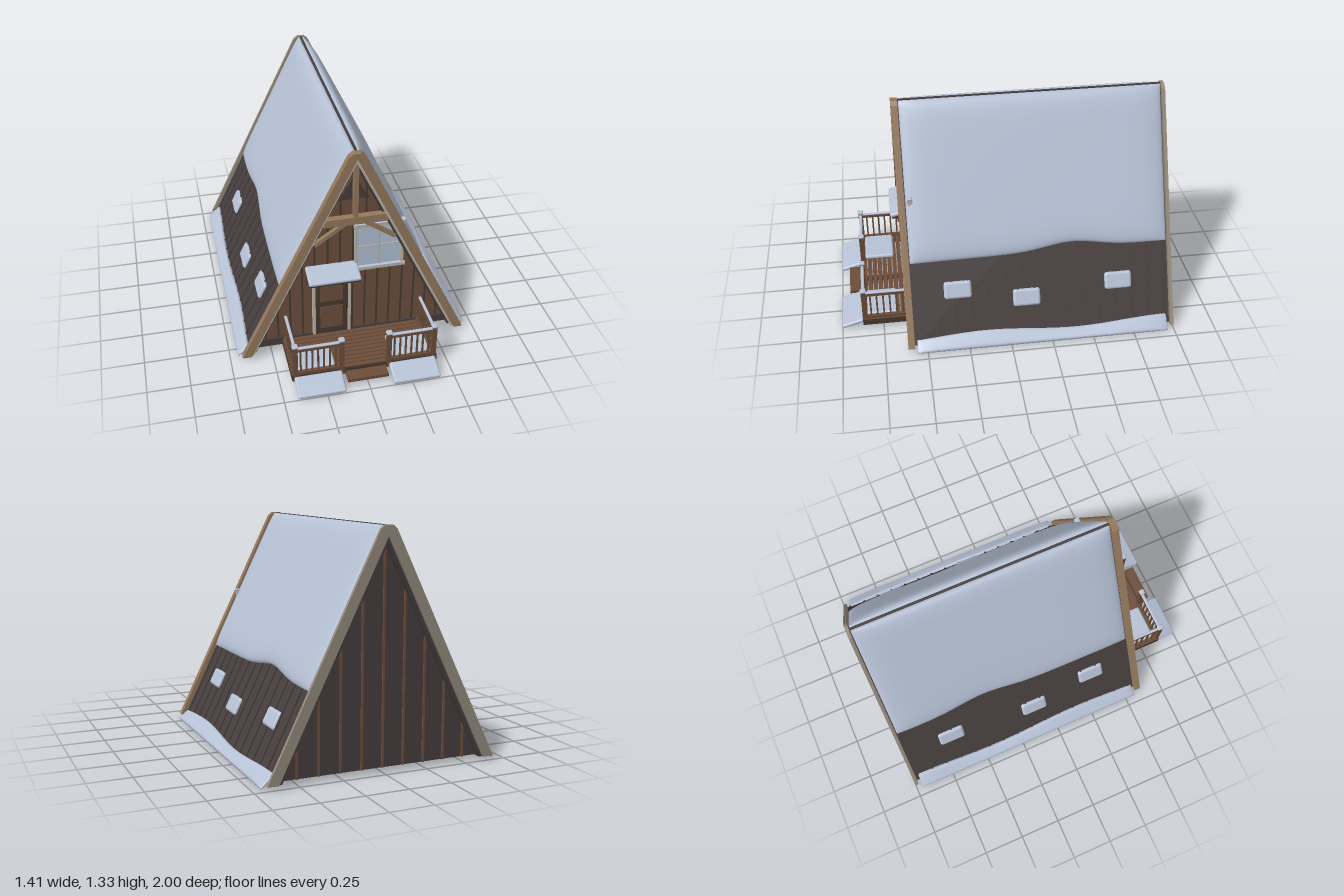
import * as THREE from 'three';
import { mergeVertices } from 'three/addons/utils/BufferGeometryUtils.js';
import { RoundedBoxGeometry } from 'three/addons/geometries/RoundedBoxGeometry.js';

const material = (name, color) => Object.assign(new THREE.MeshStandardMaterial({ color }), { name });
const M = {
  snow: material('snow', 0xb6c1d5),
  roof: material('darkRoof', 0x463e3d),
  wall: material('wallWood', 0x6a4f3d),
  dark: material('darkWood', 0x463830),
  trim: material('paleTrim', 0xb9b3a6),
  beam: material('beamWood', 0x94785c),
  deck: material('deckWood', 0x6c4d39),
  glass: material('glass', 0xb2c0d6),
  grey: material('weatheredWood', 0x958a7c),
};

const SLOPE = 2.04;                       // rise of the roof per unit of width
const TILT = Math.atan(1 / SLOPE);
const roofX = (y, apex = 1.35) => (apex - y) / SLOPE;

function add(parent, name, geometry, mat, x = 0, y = 0, z = 0, rx = 0, rz = 0) {
  const mesh = new THREE.Mesh(geometry, mat);
  mesh.name = name;
  mesh.position.set(x, y, z);
  mesh.rotation.set(rx, 0, rz);
  parent.add(mesh);
  return mesh;
}

// Box given by its lower and upper limits
function box(parent, name, mat, x0, x1, y0, y1, z0, z1, rx = 0) {
  return add(parent, name, new THREE.BoxGeometry(x1 - x0, y1 - y0, z1 - z0), mat,
    (x0 + x1) / 2, (y0 + y1) / 2, (z0 + z1) / 2, rx);
}

function softBox(parent, name, x0, x1, y0, y1, z0, z1, rx = 0) {
  const w = x1 - x0, h = y1 - y0, d = z1 - z0;
  return add(parent, name, new RoundedBoxGeometry(w, h, d, 3, Math.min(w, h, d) * 0.45), M.snow,
    (x0 + x1) / 2, (y0 + y1) / 2, (z0 + z1) / 2, rx);
}

// Straight bar between two points in a plane of constant z
function bar(parent, name, mat, a, b, thick, depth, z) {
  const dx = b[0] - a[0], dy = b[1] - a[1];
  add(parent, name, new THREE.BoxGeometry(Math.hypot(dx, dy), thick, depth), mat,
    (a[0] + b[0]) / 2, (a[1] + b[1]) / 2, z, 0, Math.atan2(dy, dx));
}

function extrude(parent, name, mat, pts, z0, z1) {
  const shape = new THREE.Shape(pts.map(p => new THREE.Vector2(...p)));
  return add(parent, name, new THREE.ExtrudeGeometry(shape, { depth: z1 - z0, bevelEnabled: false }), mat, 0, 0, z0);
}

// Inverted V between two parallel slopes, flattened at the top
function chevron(parent, name, mat, outer, inner, bottom, top, z0, z1) {
  const half = [[roofX(bottom, inner), bottom], [roofX(bottom, outer), bottom]];
  if (outer > top) half.push([roofX(top - 0.02, outer), top - 0.02], [roofX(top, outer) * 0.6, top]);
  else half.push([0, outer]);
  const left = half.map(([x, y]) => [-x, y]).reverse().filter(p => Math.abs(p[0]) > 1e-6);
  extrude(parent, name, mat, [[0, inner], ...half, ...left], z0, z1);
}

// Puffy snow sheet: at(u, w) gives the base point, u and w run from -1 to 1
function snowSheet(parent, name, at, normal, thick, nu, nw) {
  let g = new THREE.BoxGeometry(2, 1, 2, nu, 1, nw);
  g.deleteAttribute('normal');
  g.deleteAttribute('uv');
  const p = g.attributes.position;
  for (let i = 0; i < p.count; i++) {
    const u = Math.sin(p.getX(i) * Math.PI / 2), w = Math.sin(p.getZ(i) * Math.PI / 2);
    const puff = Math.sqrt(Math.max(0, (1 - Math.abs(u) ** 9) * (1 - Math.abs(w) ** 9)));
    const h = p.getY(i) > 0 ? thick * (0.15 + 0.85 * puff) : -0.004;
    const b = at(u, w);
    p.setXYZ(i, b[0] + normal[0] * h, Math.min(1.332, b[1] + normal[1] * h), b[2]);
  }
  g = mergeVertices(g);
  g.computeVertexNormals();
  return add(parent, name, g, M.snow);
}

function buildHalfRoof() {
  const half = new THREE.Group();
  half.name = 'roofSide';
  const n = [Math.cos(TILT), Math.sin(TILT)];
  // Standing seams
  for (let i = 0; i < 16; i++) {
    add(half, 'roofSeam', new THREE.BoxGeometry(0.014, 1.4, 0.01), M.roof, roofX(0.66), 0.66, -0.96 + i * 0.1, 0, TILT);
  }
  // Main snow sheet with a wavy lower edge
  snowSheet(half, 'roofSnow', (u, w) => {
    const z = -0.2025 + 0.7725 * w;
    const low = 0.476 - 0.01 * z + 0.04 * Math.exp(-(((z + 0.4) / 0.22) ** 2));
    const y = THREE.MathUtils.lerp(1.33, low, (u + 1) / 2);
    return [roofX(y), y, z];
  }, n, 0.04, 28, 60);
  // Snow slumped along the eave
  snowSheet(half, 'eaveSnow', (u, w) => {
    const z = -0.2 + 0.76 * w, t = (u + 1) / 2;
    const top = 0.062 + 0.013 * Math.cos((z - 0.15) * 5.7);
    return [THREE.MathUtils.lerp(roofX(top), 0.7, t), THREE.MathUtils.lerp(top, 0.006, t), z];
  }, [0.6, 0.8], 0.018, 10, 40);
  // Loose snow patches
  for (const [y, z] of [[0.31, 0.3], [0.238, -0.11], [0.288, -0.67]]) {
    add(half, 'snowPatch', new RoundedBoxGeometry(0.035, 0.105, 0.165, 3, 0.017), M.snow, roofX(y), y, z, 0, TILT);
  }
  return half;
}

function buildRailing() {
  const rail = new THREE.Group();
  rail.name = 'railing';
  for (const x of [0.14, 0.41]) {
    box(rail, 'railPost', M.deck, x - 0.014, x + 0.014, 0.03, 0.275, 0.846, 0.874);
    softBox(rail, 'postSnow', x - 0.018, x + 0.018, 0.27, 0.288, 0.842, 0.878);
  }
  for (const y of [0.08, 0.25]) {
    box(rail, 'frontRail', M.deck, 0.14, 0.41, y - 0.009, y + 0.009, 0.85, 0.87);
    box(rail, 'sideRail', M.deck, 0.4, 0.42, y - 0.009, y + 0.009, 0.55, 0.86);
  }
  softBox(rail, 'railSnow', 0.15, 0.4, 0.256, 0.268, 0.85, 0.87);
  softBox(rail, 'railSnow', 0.401, 0.419, 0.256, 0.268, 0.57, 0.85);
  for (let i = 1; i < 8; i++) {
    const x = 0.14 + i * 0.034, z = 0.86 - i * 0.039;
    box(rail, 'baluster', M.deck, x - 0.005, x + 0.005, 0.08, 0.25, 0.855, 0.865);
    box(rail, 'baluster', M.deck, 0.405, 0.415, 0.08, 0.25, z - 0.005, z + 0.005);
  }
  softBox(rail, 'deckSnow', 0.17, 0.4, 0.06, 0.092, 0.66, 0.845);
  softBox(rail, 'groundSnow', 0.14, 0.42, 0.021, 0.047, 0.866, 1.004, 0.3);
  return rail;
}

function buildDoor(g) {
  box(g, 'door', M.dark, -0.225, -0.03, 0.08, 0.52, 0.53, 0.548);
  box(g, 'upperDoorPanel', M.wall, -0.198, -0.062, 0.315, 0.48, 0.548, 0.553);
  box(g, 'lowerDoorPanel', M.wall, -0.198, -0.062, 0.115, 0.275, 0.548, 0.553);
  for (const x of [-0.235, -0.022]) box(g, 'doorFrame', M.trim, x - 0.008, x + 0.008, 0.08, 0.52, 0.53, 0.56);
  // Sloping canopy with brackets and snow
  box(g, 'canopy', M.dark, -0.28, 0.02, 0.527, 0.539, 0.53, 0.655, 0.28);
  softBox(g, 'canopySnow', -0.283, 0.023, 0.536, 0.562, 0.525, 0.665, 0.28);
  for (const x of [-0.268, 0.008]) {
    box(g, 'canopyBracket', M.dark, x - 0.007, x + 0.007, 0.455, 0.54, 0.53, 0.548);
    add(g, 'canopyBrace', new THREE.BoxGeometry(0.012, 0.012, 0.1), M.dark, x, 0.49, 0.58, -0.5);
  }
}

function buildWindow(g) {
  box(g, 'windowGlass', M.glass, 0.02, 0.29, 0.54, 0.82, 0.53, 0.543);
  for (const x of [0.015, 0.29]) box(g, 'windowJamb', M.trim, x - 0.008, x + 0.008, 0.53, 0.83, 0.53, 0.556);
  box(g, 'windowMuntin', M.trim, 0.148, 0.156, 0.54, 0.82, 0.53, 0.55);
  box(g, 'windowMuntin', M.trim, 0.02, 0.29, 0.672, 0.68, 0.53, 0.55);
  box(g, 'windowSill', M.trim, 0, 0.31, 0.517, 0.533, 0.53, 0.56);
  box(g, 'windowHeader', M.trim, 0, 0.3, 0.812, 0.83, 0.53, 0.56);
  softBox(g, 'windowSnow', 0, 0.305, 0.828, 0.842, 0.53, 0.562);
  softBox(g, 'sillSnow', 0.01, 0.3, 0.53, 0.541, 0.54, 0.56);
}

export function createModel() {
  const g = new THREE.Group();
  g.name = 'snowyCabin';
  const gable = (apex, y) => [[-roofX(y, apex), y], [roofX(y, apex), y], [0, apex]];

  // Body, gable wall and floor
  extrude(g, 'body', M.roof, gable(1.26, 0.03), -0.95, 0.51);
  extrude(g, 'frontWall', M.wall, gable(1.26, 0.03), 0.51, 0.53);
  box(g, 'foundation', M.roof, -0.6, 0.6, 0.03, 0.08, 0.5, 0.545);
  const floor = new THREE.Shape([[-0.6, 0.55], [0.6, 0.55], [0.6, -0.53]].map(p => new THREE.Vector2(...p)));
  add(g, 'floorPanel', new THREE.ShapeGeometry(floor), M.deck, 0, 0.027, 0, Math.PI / 2);

  // Wall battens and gable vent
  for (let i = -7; i <= 7; i++) {
    const x = i * 0.075;
    box(g, 'frontBatten', M.dark, x - 0.005, x + 0.005, 0.08, 1.25 - SLOPE * Math.abs(x), 0.53, 0.537);
  }
  for (let i = -4; i <= 4; i++) {
    const x = i * 0.125;
    box(g, 'backBatten', M.deck, x - 0.006, x + 0.006, 0.03, 1.24 - SLOPE * Math.abs(x), -0.958, -0.95);
  }
  extrude(g, 'gableVent', M.roof, [[-0.09, 1.005], [0.09, 1.005], [0, 1.15]], 0.53, 0.54);

  // Roof slab, ridge and barge boards
  chevron(g, 'roofSlab', M.roof, 1.35, 1.235, 0.025, 1.32, -0.985, 0.575);
  box(g, 'ridgeCap', M.roof, -0.007, 0.007, 1.29, 1.334, -0.985, 0.575);
  chevron(g, 'frontBarge', M.beam, 1.41, 1.3, 0.025, 1.335, 0.575, 0.615);
  chevron(g, 'bargeTrim', M.trim, 1.305, 1.268, 0.025, 1.33, 0.57, 0.6);
  chevron(g, 'backBarge', M.grey, 1.41, 1.28, 0.025, 1.335, -1, -0.98);
  const right = buildHalfRoof(), left = buildHalfRoof();
  left.scale.x = -1;
  g.add(right, left);

  // Gable truss
  box(g, 'tieBeam', M.beam, -0.185, 0.185, 0.873, 0.92, 0.56, 0.6);
  box(g, 'kingPost', M.beam, -0.013, 0.013, 0.91, 1.29, 0.56, 0.598);
  for (const s of [-1, 1]) bar(g, 'trussBrace', M.beam, [s * 0.04, 0.885], [s * 0.235, 0.75], 0.022, 0.025, 0.575);

  buildDoor(g);
  buildWindow(g);

  // Deck, step and railings
  for (let i = 0; i < 10; i++) {
    const z = 0.55 + i * 0.032;
    box(g, 'deckPlank', M.deck, -0.43, 0.43, 0.055, 0.072, z, z + 0.026);
  }
  for (const x of [-0.4, 0, 0.4]) box(g, 'deckJoist', M.dark, x - 0.012, x + 0.012, 0.03, 0.056, 0.54, 0.865);
  box(g, 'deckRim', M.dark, -0.43, 0.43, 0.03, 0.07, 0.862, 0.874);
  for (const s of [-1, 1]) box(g, 'deckSideRim', M.dark, s * 0.425 - 0.006, s * 0.425 + 0.006, 0.03, 0.07, 0.54, 0.865);
  box(g, 'step', M.deck, -0.12, 0.12, 0.03, 0.05, 0.865, 0.95);
  const railRight = buildRailing(), railLeft = buildRailing();
  railLeft.scale.x = -1;
  g.add(railRight, railLeft);
  return g;
}
